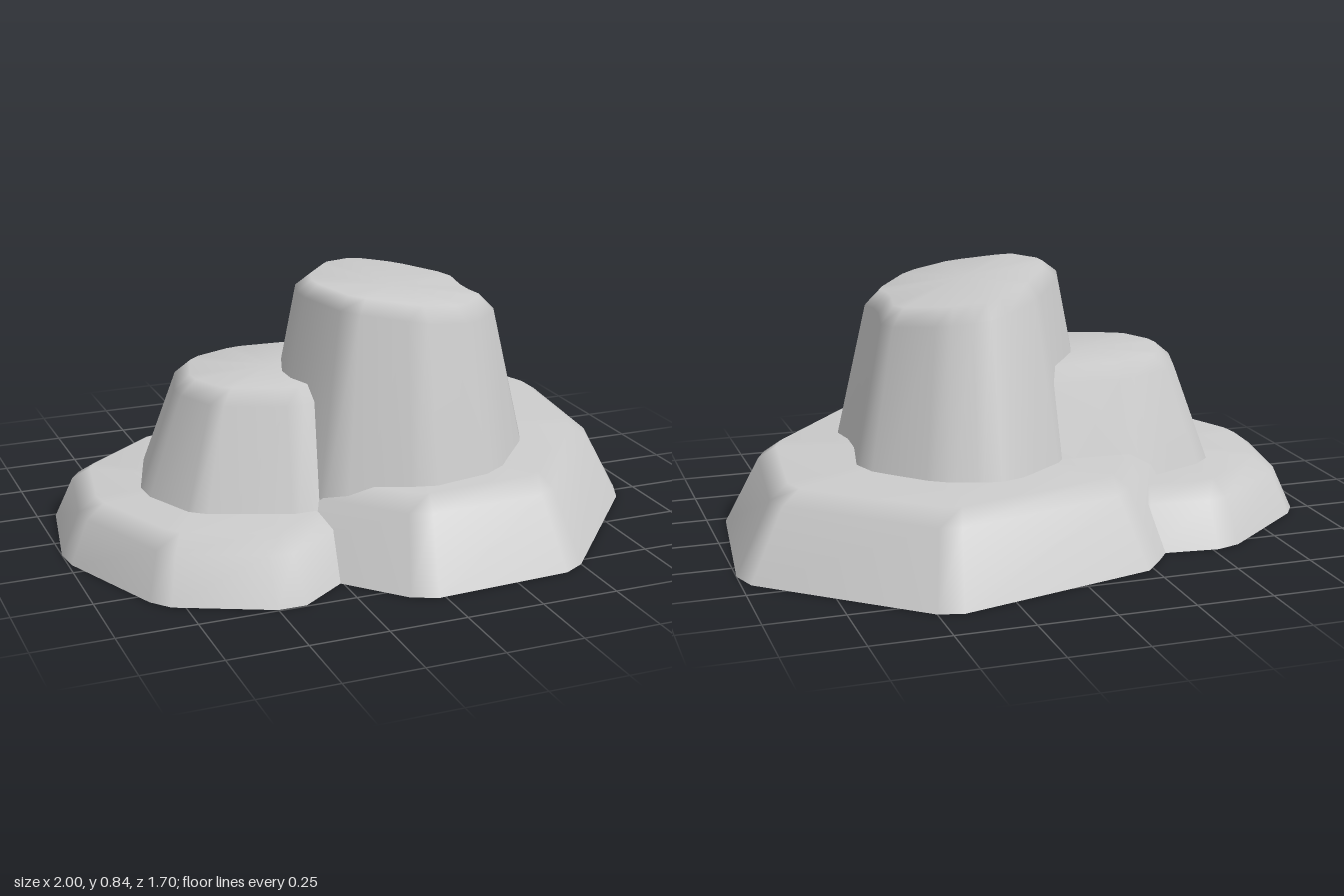
import * as THREE from 'three';

const stone = new THREE.MeshStandardMaterial({ color: 0xcccccc, side: THREE.DoubleSide });

// Open-bottomed rock: an outline [x, z, x, z, ...] scaled about a centre into
// rings of [scale, height], closed by a fan on top. height may depend on x.
function rock(name, [cx, cz], outline, rings) {
  const n = outline.length / 2;
  const pos = [], index = [];
  const put = (x, z, h) => pos.push(x, typeof h === 'function' ? h(x) : h, z);
  for (const [s, h] of rings) {
    for (let i = 0; i < n; i++) {
      put(cx + (outline[2 * i] - cx) * s, cz + (outline[2 * i + 1] - cz) * s, h);
    }
  }
  put(cx, cz, rings[rings.length - 1][1]);
  const last = (rings.length - 1) * n, centre = rings.length * n;
  for (let i = 0; i < n; i++) {
    const j = (i + 1) % n;
    for (let r = 0; r < last; r += n) {
      index.push(r + i, r + n + i, r + j, r + j, r + n + i, r + n + j);
    }
    index.push(centre, last + j, last + i);
  }
  const geo = new THREE.BufferGeometry();
  geo.setAttribute('position', new THREE.Float32BufferAttribute(pos, 3));
  geo.setIndex(index);
  geo.computeVertexNormals();
  const mesh = new THREE.Mesh(geo, stone);
  mesh.name = name;
  return mesh;
}

export function createModel() {
  const group = new THREE.Group();
  group.name = 'rockFormation';

  // Wide lower slab
  group.add(rock('largeBaseRock', [0.2, 0], [
    0.42, -0.85, 0.5, -0.83, 0.97, -0.42, 1, -0.33, 0.94, 0.22, 0.9, 0.31,
    0.5, 0.78, 0.43, 0.82, -0.02, 0.845, -0.1, 0.81, -0.5, 0.37, -0.54, 0.28,
    -0.57, -0.2, -0.53, -0.3, -0.3, -0.6, -0.23, -0.68,
  ], [[1, 0], [0.85, 0.22], [0.77, 0.262]]));

  // Lower slab at the side
  group.add(rock('smallBaseRock', [-0.5, 0.1], [
    -0.6, -0.54, -0.52, -0.565, -0.3, -0.54, -0.22, -0.5, -0.03, -0.25, 0, -0.17,
    0, 0.4, -0.04, 0.48, -0.41, 0.745, -0.5, 0.745, -0.79, 0.61, -0.84, 0.55,
    -0.99, 0.19, -1, 0.1, -0.94, -0.24, -0.9, -0.3,
  ], [[1, 0], [0.88, 0.14], [0.76, 0.184]]));

  // Middle step, carried down to the ground inside the slabs
  group.add(rock('middleRock', [-0.28, 0.08], [
    -0.4, -0.305, -0.32, -0.32, 0.02, -0.3, 0.09, -0.26, 0.16, -0.05, 0.16, 0.05,
    0.08, 0.33, 0.02, 0.38, -0.27, 0.48, -0.35, 0.48, -0.6, 0.38, -0.65, 0.34,
    -0.725, 0.17, -0.73, 0.08, -0.65, -0.17, -0.59, -0.225,
  ], [[1.15, 0], [0.73, 0.5], [0.61, 0.545]]));

  // Tall rock with a sloping top and a shallow notch on its left side
  const top = (x) => 0.815 - 0.147 * x;
  group.add(rock('tallRock', [0.11, 0.18], [
    0.1, -0.43, 0.18, -0.455, 0.25, -0.44, 0.34, -0.41, 0.4, -0.37, 0.54, -0.22,
    0.57, -0.13, 0.53, 0.07, 0.525, 0.18, 0.54, 0.27, 0.51, 0.33, 0.35, 0.52,
    0.27, 0.57, 0.08, 0.605, 0, 0.585, -0.18, 0.51, -0.25, 0.46, -0.32, 0.24,
    -0.32, 0.15, -0.27, 0, -0.11, -0.24, -0.06, -0.31,
  ], [[1.127, 0], [0.76, (x) => top(x) - 0.045], [0.645, top]]));

  return group;
}
